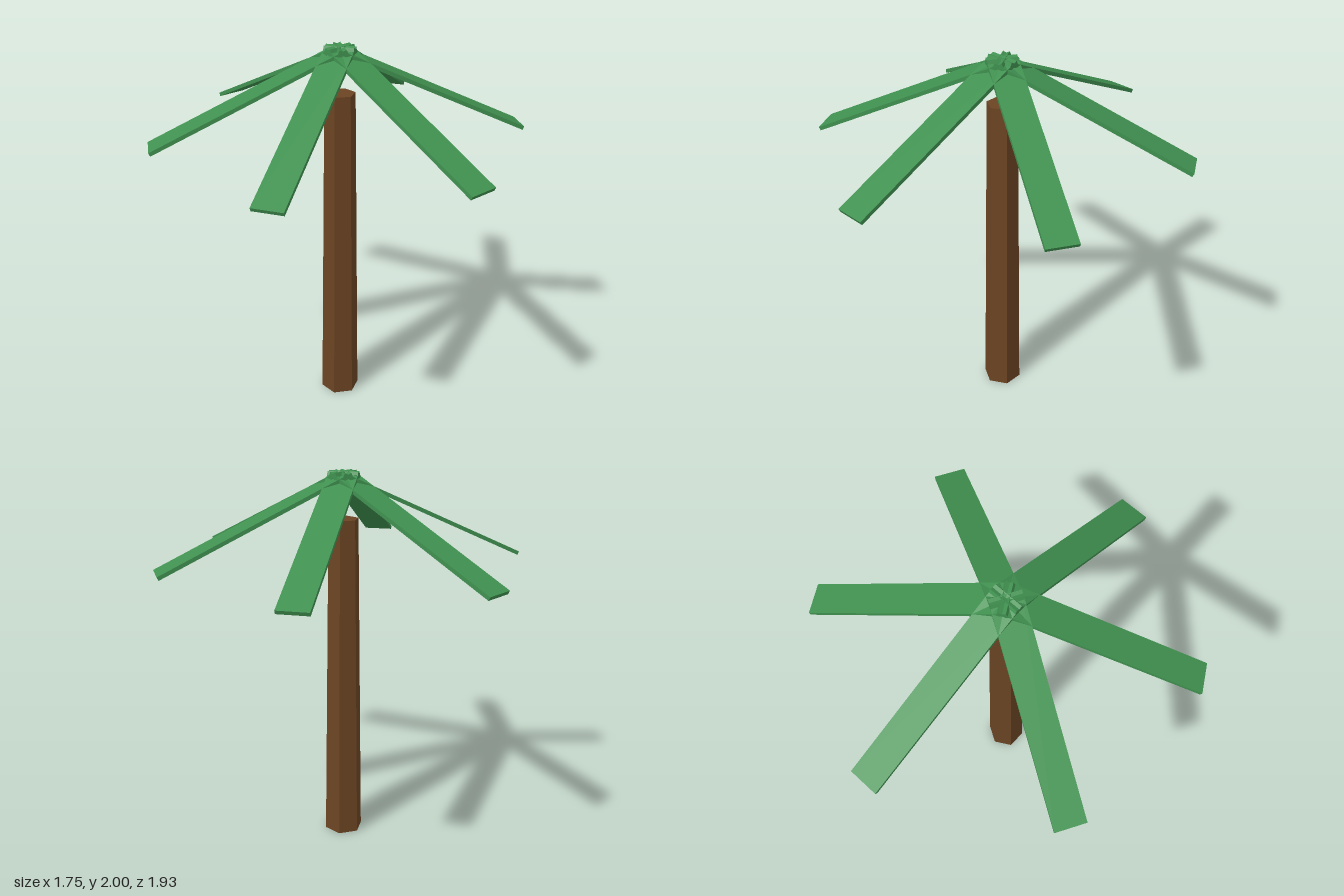
import * as THREE from 'three';

export function createModel() {
  const model = new THREE.Group();
  model.name = 'palmTree';

  const bark = new THREE.MeshStandardMaterial({ color: 0x6b4423 });
  bark.name = 'bark brown';
  const green = new THREE.MeshStandardMaterial({ color: 0x409150 });
  green.name = 'frond green';

  // Tapered six-sided trunk
  const trunkHeight = 1.76;
  const trunkGeometry = new THREE.CylinderGeometry(0.08, 0.104, trunkHeight, 6).toNonIndexed();
  trunkGeometry.computeVertexNormals();
  const trunk = new THREE.Mesh(trunkGeometry, bark);
  trunk.name = 'trunk';
  trunk.position.y = trunkHeight / 2;
  model.add(trunk);

  // Six flat fronds drooping outwards from the crown
  const crown = new THREE.Group();
  crown.name = 'crown';
  const frondGeometry = new THREE.BoxGeometry(0.157, 0.02, 1.081);
  frondGeometry.rotateX(THREE.MathUtils.degToRad(25));
  frondGeometry.translate(0, 1.762, 0.469);
  for (let i = 0; i < 6; i++) {
    const frond = new THREE.Mesh(frondGeometry, green);
    frond.name = `frond${i + 1}`;
    frond.rotation.y = (i * Math.PI) / 3;
    crown.add(frond);
  }
  model.add(crown);

  return model;
}
